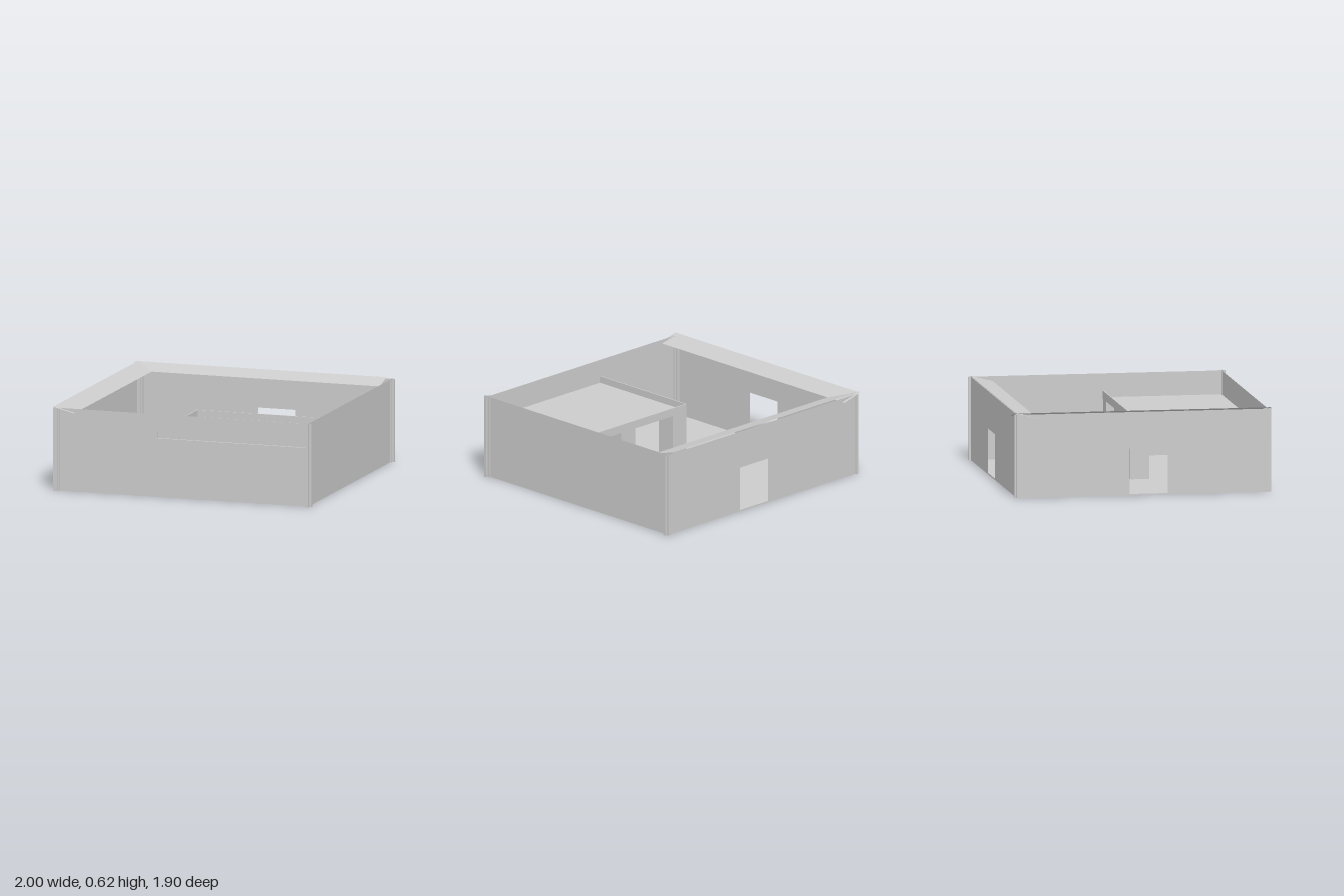
import * as THREE from 'three';

const mat = new THREE.MeshStandardMaterial({ color: 0xcccccc, side: THREE.DoubleSide, flatShading: true });

// Room limits
const X0 = -0.98, X1 = 0.97, Z0 = -0.93, Z1 = 0.92, H = 0.61;

export function createModel() {
  const group = new THREE.Group();

  const add = (name, geometry) => {
    const mesh = new THREE.Mesh(geometry, mat);
    mesh.name = name;
    group.add(mesh);
    return mesh;
  };
  const box = (name, x0, x1, y0, y1, z0, z1) =>
    add(name, new THREE.BoxGeometry(x1 - x0, y1 - y0, z1 - z0))
      .position.set((x0 + x1) / 2, (y0 + y1) / 2, (z0 + z1) / 2);

  // Flat four-cornered sheet
  const sheet = (name, a, b, c, d) => {
    const g = new THREE.BufferGeometry();
    g.setAttribute('position', new THREE.Float32BufferAttribute([...a, ...b, ...c, ...d], 3));
    g.setIndex([0, 1, 2, 0, 2, 3]);
    g.computeVertexNormals();
    return add(name, g);
  };

  // Thin wall in the xy plane, with an optional doorway [from, to, top]
  const wall = (name, a, b, door) => {
    const s = new THREE.Shape([[a, 0], [b, 0], [b, H], [a, H]].map(p => new THREE.Vector2(...p)));
    if (door) {
      const [p, q, top] = door;
      s.holes.push(new THREE.Path([[p, 0.01], [p, top], [q, top], [q, 0.01]].map(v => new THREE.Vector2(...v))));
    }
    return add(name, new THREE.ShapeGeometry(s));
  };

  // Floor
  sheet('floor', [X0, 0, Z1], [X1, 0, Z1], [X1, 0, Z0], [X0, 0, Z0]);

  // Walls; the side walls are turned so their local x runs along -z
  wall('frontWall', X0, X1).position.z = Z1;
  wall('backWall', X0, X1, [-0.055, 0.232, 0.335]).position.z = Z0;
  const left = wall('leftWall', -Z1, -Z0);
  left.rotation.y = Math.PI / 2;
  left.position.x = X1;
  const right = wall('rightWall', -Z1, -Z0, [-0.18, 0.1, 0.345]);
  right.rotation.y = Math.PI / 2;
  right.position.x = X0;

  // Open-ended corner trims with a plus-shaped outline
  const w = 0.01;
  const trim = (cx, cz, r) => {
    const outline = [];
    for (let k = 0; k < 4; k++) {
      const c = Math.round(Math.cos(k * Math.PI / 2)), s = Math.round(Math.sin(k * Math.PI / 2));
      for (const [x, z] of [[r, -w], [r, w], [w, w]]) outline.push([cx + x * c - z * s, cz + x * s + z * c]);
    }
    outline.forEach(([x, z], i) => {
      const [u, v] = outline[(i + 1) % outline.length];
      sheet('cornerTrim', [x, 0, z], [x, H, z], [u, H, v], [u, 0, v]);
    });
  };
  trim(0.97, 0.92, 0.03);
  trim(0.97, -0.92, 0.025);
  trim(-0.96, 0.92, 0.025);
  trim(-0.96, -0.92, 0.025);

  // Sloping cornices along the right and back walls, crossing at the corner
  const hi = 0.62, lo = 0.58;
  sheet('rightCornice', [X0, hi, 0.945], [-0.82, lo, 0.945], [-0.82, lo, -0.95], [X0, hi, -0.95]);
  sheet('backCornice', [-1, hi, Z0], [-1, lo, -0.775], [0.93, lo, -0.775], [0.93, hi, Z0]);

  // Raised platform in the front left corner, with a low curb on its open sides
  const px = -0.19, pz = 0.04, pe = 0.935;
  box('platformDeck', px, X1, 0.425, 0.435, pz, pe);
  box('platformCurb', px, px + 0.008, 0.425, 0.485, pz, pe);
  box('platformCurb', px, X1, 0.425, 0.485, pz, pz + 0.008);

  // Square pillars under the platform edges
  const t = 0.142;
  for (const [x, z] of [[px, pz], [0.335, pz], [0.81, pz], [px, 0.755]])
    box('pillar', x, x + t, 0, 0.425, z, z + t);

  return group;
}
